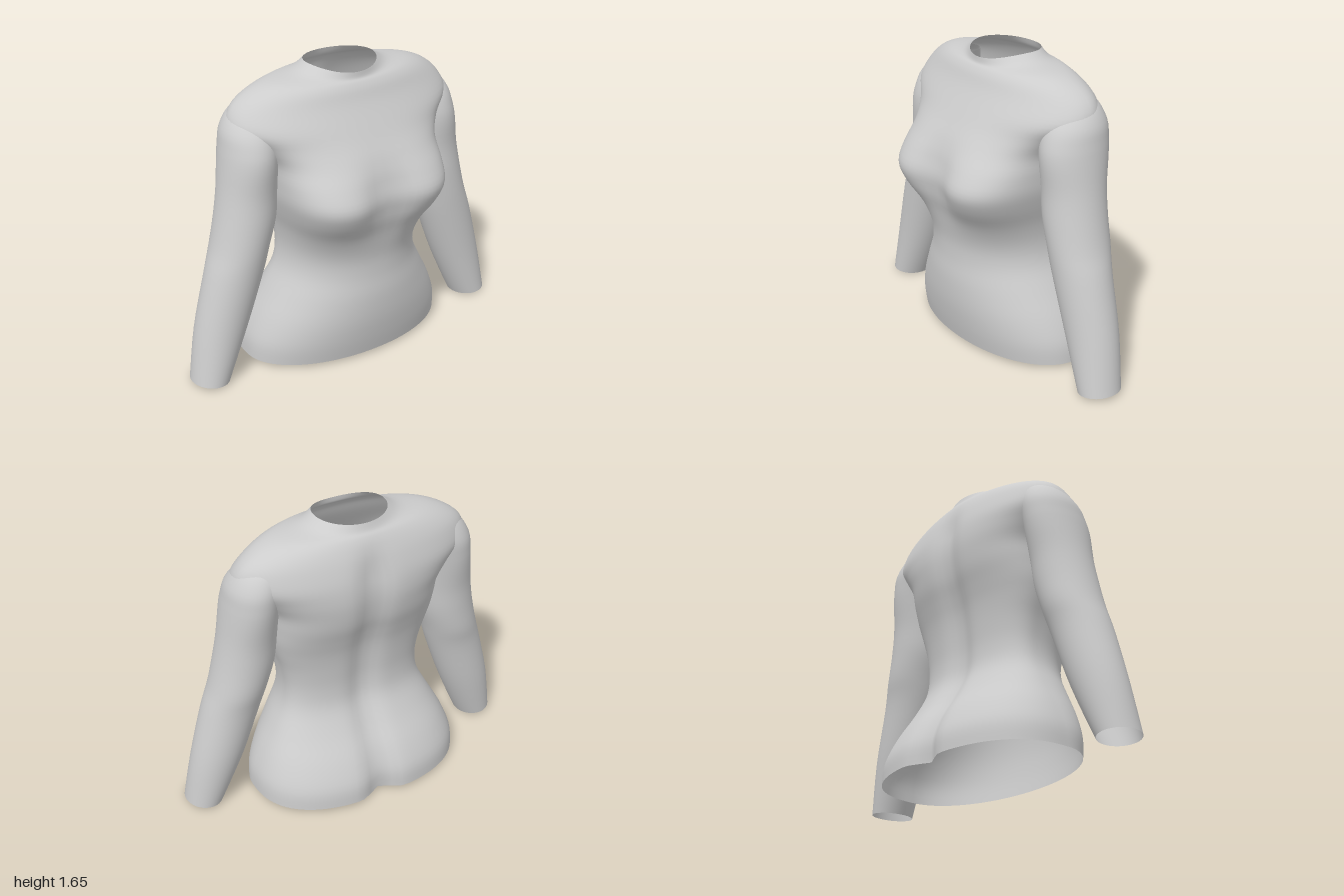
import * as THREE from 'three';

const { smoothstep, lerp } = THREE.MathUtils;
const bell = (v, centre, width) => Math.exp(-(((v - centre) / width) ** 2));
const power = (v, e) => Math.sign(v) * Math.pow(Math.abs(v), e);

// Catmull-Rom interpolation of whole rows; t runs over row indices
function sampleRow(rows, t) {
  const n = rows.length - 1;
  const i = Math.min(Math.floor(t), n - 1), f = t - i;
  const at = (k) => rows[Math.max(0, Math.min(n, k))];
  return rows[i].map((p1, c) => {
    const p0 = at(i - 1)[c], p2 = at(i + 1)[c], p3 = at(i + 2)[c];
    return 0.5 * (2 * p1 + (p2 - p0) * f + (2 * p0 - 5 * p1 + 4 * p2 - p3) * f * f
      + (3 * p1 - p0 - 3 * p2 + p3) * f * f * f);
  });
}

// Open tube made of rings from bottom to top
function loft(rows, pointOnRing, sides, steps = 4) {
  const positions = [], index = [];
  const count = (rows.length - 1) * steps;
  for (let j = 0; j <= count; j++) {
    const row = sampleRow(rows, j / steps);
    for (let i = 0; i < sides; i++) {
      positions.push(...pointOnRing(row, (i / sides) * Math.PI * 2));
      if (j === count) continue;
      const a = j * sides + i, b = j * sides + ((i + 1) % sides);
      index.push(a, b, a + sides, b, b + sides, a + sides);
    }
  }
  const geometry = new THREE.BufferGeometry();
  geometry.setAttribute('position', new THREE.Float32BufferAttribute(positions, 3));
  geometry.setIndex(index);
  geometry.computeVertexNormals();
  return geometry;
}

// y, half width, front z, back z
const torsoRows = [
  [0.02, 0.62, 0.30, -0.475],
  [0.13, 0.61, 0.325, -0.465],
  [0.26, 0.56, 0.345, -0.405],
  [0.40, 0.485, 0.35, -0.315],
  [0.53, 0.42, 0.34, -0.25],
  [0.65, 0.40, 0.345, -0.235],
  [0.78, 0.415, 0.385, -0.245],
  [0.90, 0.45, 0.455, -0.265],
  [1.00, 0.475, 0.485, -0.295],
  [1.10, 0.485, 0.44, -0.33],
  [1.20, 0.50, 0.37, -0.35],
  [1.29, 0.57, 0.305, -0.355],
  [1.38, 0.665, 0.25, -0.345],
  [1.47, 0.64, 0.20, -0.32],
  [1.54, 0.555, 0.17, -0.29],
  [1.585, 0.44, 0.15, -0.265],
  [1.61, 0.28, 0.135, -0.245],
  [1.65, 0.20, 0.13, -0.23],
];

function torsoPoint([y, w, zf, zb], t) {
  const c = Math.cos(t);
  const middle = -0.05 - 0.04 * bell(y, 1.5, 0.1);
  const front = c >= 0;
  // squarer across the bust and back, round at the neck
  const squareness = front ? 2.05 + 1.35 * bell(y, 1, 0.25) : lerp(2.5, 2, smoothstep(y, 1.2, 1.5));
  const x = w * power(Math.sin(t), 2 / squareness);
  let z = middle + (front ? zf - middle : middle - zb) * power(c, 2 / squareness);
  // hollow between the bust, along the spine and below it
  if (front) z -= 0.08 * bell(y, 1, 0.17) * bell(x, 0, 0.16);
  else z += (0.04 * (1 - smoothstep(y, 1.35, 1.6)) + 0.03 * bell(y, 0, 0.2)) * bell(x, 0, 0.08);
  // neckline dips towards the front
  const dip = 0.035 * smoothstep(y, 1.52, 1.65) * c * c * (front ? 1 : 0.25);
  return [x, y - dip, z];
}

// y, inner x, outer x, back z, front z
const sleeveRows = [
  [0.01, 0.79, 1.00, -0.11, 0.13],
  [0.30, 0.655, 0.95, -0.145, 0.13],
  [0.60, 0.545, 0.87, -0.165, 0.14],
  [0.75, 0.50, 0.82, -0.19, 0.145],
  [0.90, 0.455, 0.783, -0.20, 0.145],
  [1.05, 0.44, 0.753, -0.21, 0.14],
  [1.20, 0.43, 0.73, -0.235, 0.15],
  [1.29, 0.42, 0.715, -0.245, 0.14],
  [1.38, 0.40, 0.693, -0.245, 0.105],
  [1.47, 0.37, 0.625, -0.215, 0.03],
  [1.53, 0.34, 0.50, -0.17, -0.02],
];

function sleevePoint([y, inner, outer, zb, zf], t, side) {
  const s = Math.sin(t);
  const x = (inner + outer) / 2 * side + (outer - inner) / 2 * s;
  // cuff is slightly higher on the outside
  const tilt = 0.01 * (1 - smoothstep(y, 0.01, 0.3)) * s * side;
  return [x, y + tilt, (zf + zb) / 2 + (zf - zb) / 2 * Math.cos(t)];
}

export function createModel() {
  const group = new THREE.Group();
  group.name = 'longSleevedTop';
  const fabric = new THREE.MeshStandardMaterial({ color: 0xcccccc, side: THREE.DoubleSide });
  fabric.name = 'light grey fabric';

  const add = (name, geometry) => {
    const mesh = new THREE.Mesh(geometry, fabric);
    mesh.name = name;
    group.add(mesh);
  };

  // body with rounded shoulders, open hem and neckline
  add('torso', loft(torsoRows, torsoPoint, 96));

  // sleeves running up under the shoulders, with open cuffs
  for (const [name, side] of [['leftSleeve', 1], ['rightSleeve', -1]]) {
    add(name, loft(sleeveRows, (row, t) => sleevePoint(row, t, side), 40));
  }
  return group;
}
